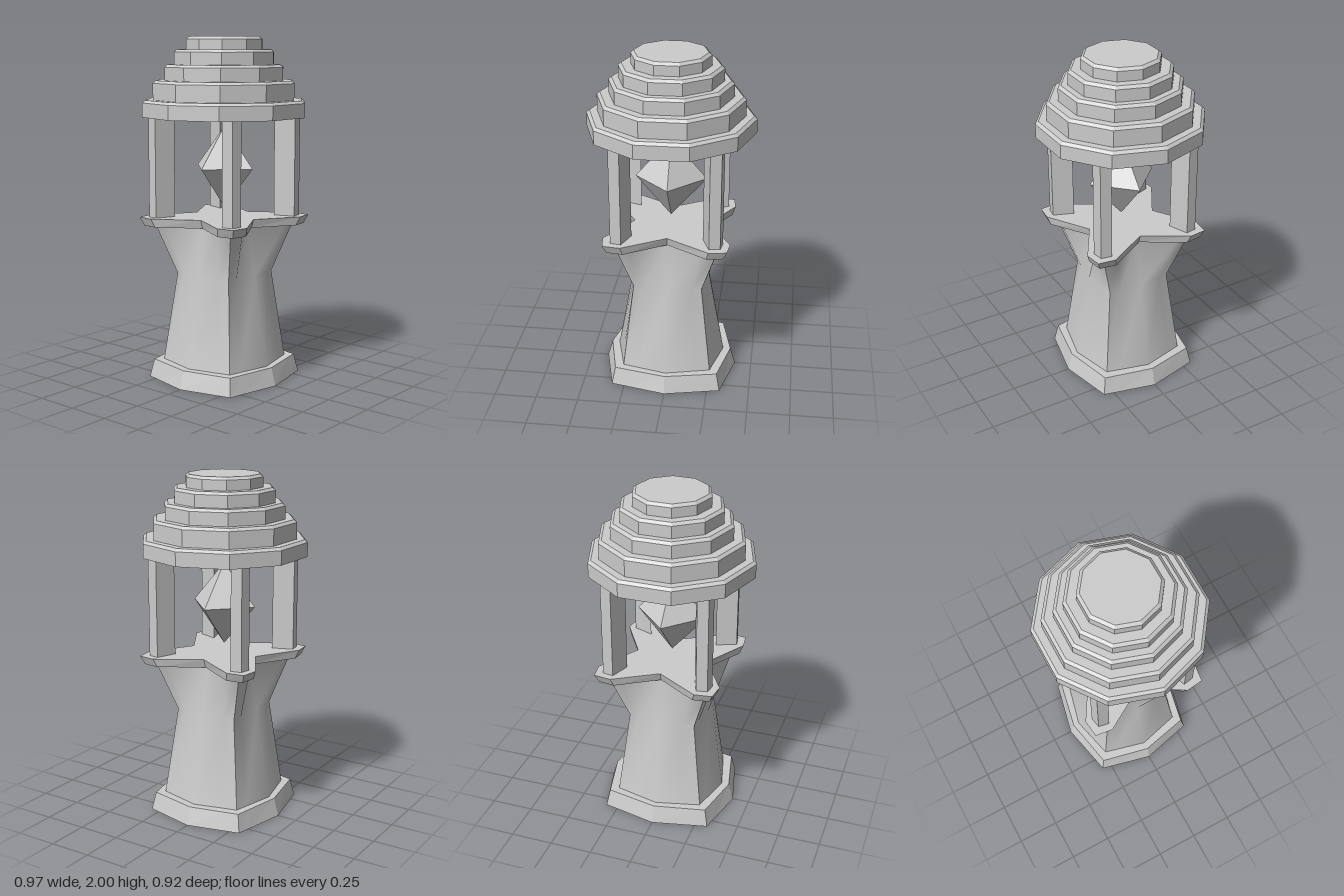
import * as THREE from 'three';

const flat = new THREE.MeshStandardMaterial({ color: 0xcccccc, flatShading: true, side: THREE.DoubleSide });
const smooth = new THREE.MeshStandardMaterial({ color: 0xcccccc, side: THREE.DoubleSide });

function add(parent, name, geometry, material = flat) {
  const mesh = new THREE.Mesh(geometry, material);
  mesh.name = name;
  parent.add(mesh);
  return mesh;
}

// One quarter of a cross-section, from corner to corner: the corner sits on the
// diagonal, the shoulder beside it, and mid is the depth at the middle of the side.
// Without a shoulder the section is a plain octagon.
function section(y, corner, mid, shoulder = [0.7 * corner, mid + 0.7 * (corner - mid)]) {
  const [sx, sz] = shoulder;
  return [[-corner, corner], [-sx, sz], [0, mid], [sx, sz], [corner, corner]].map(([x, z]) => [x, y, z]);
}

// Skin joining a list of sections, bottom to top
function panel(sections, isFlat) {
  const n = sections[0].length;
  const index = [];
  for (let r = 0; r < sections.length - 1; r++) {
    for (let i = 0; i < n - 1; i++) {
      const a = r * n + i, b = a + 1, c = a + n, d = c + 1;
      index.push(a, b, d, a, d, c);
    }
  }
  let g = new THREE.BufferGeometry();
  g.setAttribute('position', new THREE.Float32BufferAttribute(sections.flat(2), 3));
  g.setIndex(index);
  if (isFlat) g = g.toNonIndexed();
  g.computeVertexNormals();
  return g;
}

// Four panels around the axis, with sharp edges where they meet
function fourSided(name, sections, material, depth = 1) {
  const group = new THREE.Group();
  group.name = name;
  const g = panel(sections, material === flat);
  for (let k = 0; k < 4; k++) add(group, name + 'Side', g, material).rotation.y = k * Math.PI / 2;
  group.scale.z = depth;
  return group;
}

export function createModel() {
  const model = new THREE.Group();
  model.name = 'shrine';

  // Hollow octagonal foot with a ledge running in to the body
  model.add(fourSided('foot', [
    section(0, 0.325, 0.4),
    section(0.105, 0.305, 0.37),
    section(0.105, 0.255, 0.322),
  ], flat, 0.95));

  // Waisted body, octagonal below and four-armed at the top
  model.add(fourSided('body', [
    section(0.105, 0.26, 0.325),
    section(0.625, 0.2, 0.23),
    section(0.912, 0.29, 0.18, [0.2, 0.302]),
  ], smooth, 0.97));

  // Four-armed platform with a flared rim
  model.add(fourSided('platform', [
    section(0.91, 0.28, 0.17, [0.19, 0.29]),
    section(0.91, 0.332, 0.2, [0.235, 0.346]),
    section(0.96, 0.352, 0.215, [0.25, 0.365]),
    section(0.96, 0, 0, [0, 0]),
  ], flat));

  // Kite-shaped pillars on the diagonals
  const kite = new THREE.Shape([[0.206, 0.206], [0.323, 0.249], [0.312, 0.312], [0.249, 0.323]]
    .map(([x, z]) => new THREE.Vector2(x, z)));
  const pillar = new THREE.ExtrudeGeometry(kite, { depth: 0.6, bevelEnabled: false });
  pillar.rotateX(Math.PI / 2).translate(0, 1.55, 0);
  for (let k = 0; k < 4; k++) add(model, 'pillar', pillar).rotation.y = k * Math.PI / 2;

  // Floating crystal
  const crystal = add(model, 'crystal', new THREE.OctahedronGeometry(1));
  crystal.scale.set(0.207, 0.24, 0.207);
  crystal.position.y = 1.25;

  // Stepped ten-sided roof: radius, bottom and top of each tier
  const tiers = [
    [0.484, 1.545, 1.642], [0.421, 1.642, 1.752], [0.353, 1.752, 1.842],
    [0.297, 1.842, 1.927], [0.226, 1.927, 2],
  ];
  for (const [r, y0, y1] of tiers) {
    const profile = [[0, y0], [r, y0], [r, y1 - 0.015], [r - 0.018, y1], [0, y1]]
      .map(([x, y]) => new THREE.Vector2(x, y));
    add(model, 'roofTier', new THREE.LatheGeometry(profile, 10)).rotation.y = Math.PI / 2;
  }

  return model;
}
